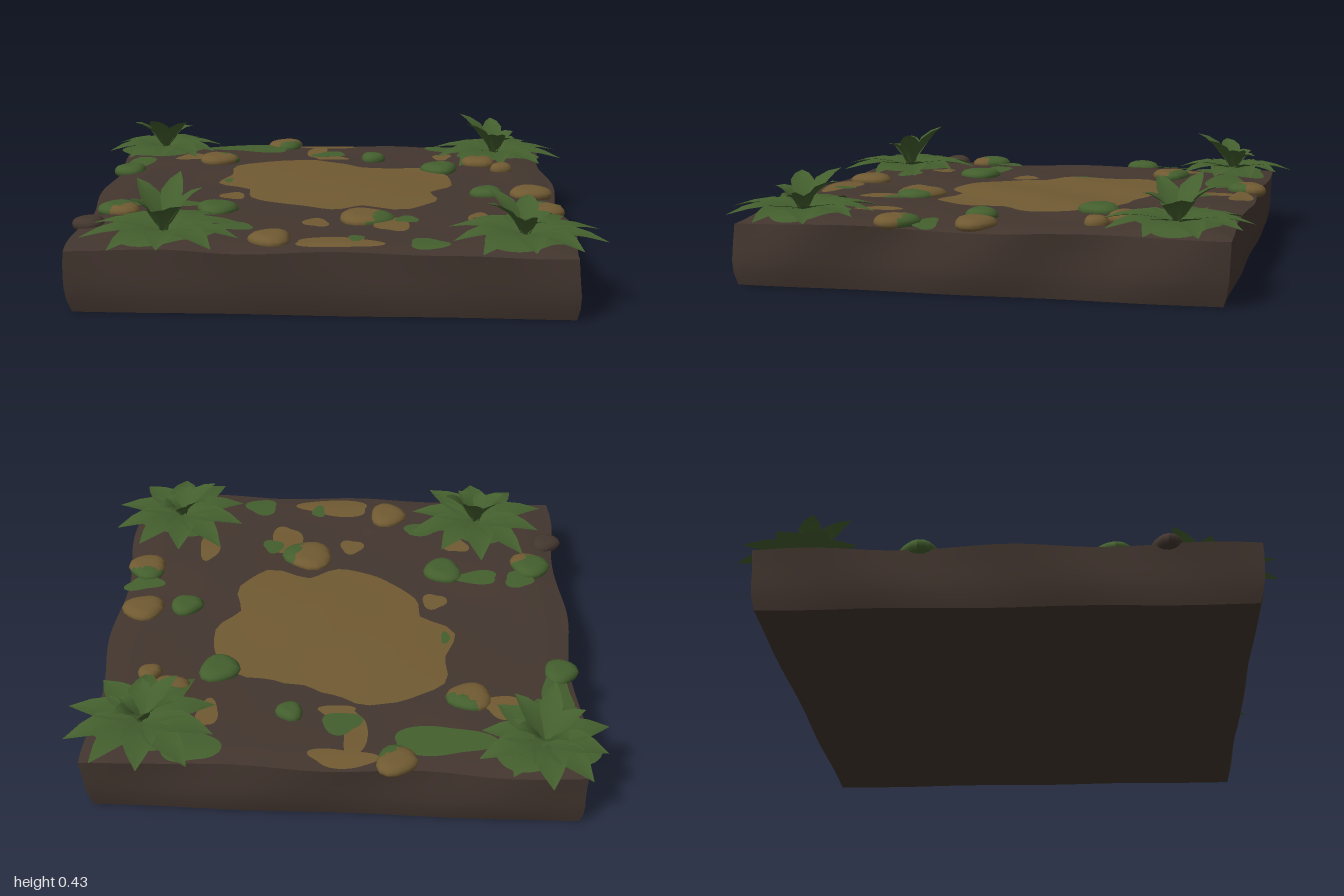
import * as THREE from 'three';

const soil = new THREE.MeshStandardMaterial({ color: 0x43362f });
const clay = new THREE.MeshStandardMaterial({ color: 0x705a32 });
const green = new THREE.MeshStandardMaterial({ color: 0x445f2e, side: THREE.DoubleSide });
soil.name = 'soil'; clay.name = 'clay'; green.name = 'foliage';

// Gently rolling ground height
function height(x, z) {
  const edge = Math.max(Math.abs(x), Math.abs(z));
  return 0.236 + 0.006 * Math.sin(x * 5 + 1) * Math.cos(z * 6) + 0.004 * Math.sin(x * 11 + z * 9)
    - 0.012 * THREE.MathUtils.smoothstep(edge, 0.78, 0.9);
}

// Soil block with wavy, slightly tapering sides
function makeSlab() {
  const geo = new THREE.BoxGeometry(2, 1, 2, 44, 5, 44);
  const p = geo.attributes.position;
  for (let i = 0; i < p.count; i++) {
    const u = p.getX(i), v = p.getZ(i), h = p.getY(i) + 0.5;
    const taper = 1 - 0.018 * (1 - Math.sqrt(Math.min(1, h * 2.5)));
    const wobble = 0.35 + 0.65 * h;
    const skew = u < 0 ? 0.012 * v * -u : 0;
    const x = taper * (u * (0.888 + wobble * 0.014 * Math.sin(v * 8 + u + h * 2)) + skew);
    const z = taper * (v * (0.872 + wobble * 0.009 * Math.sin(u * 7 + v + h * 2)) + 0.018 * u);
    p.setXYZ(i, x, h * height(x, z), z);
  }
  geo.computeVertexNormals();
  const slab = new THREE.Mesh(geo, soil);
  slab.name = 'soilBlock';
  return slab;
}

// Thin patch laid over the ground; radius(angle) gives the outline
function makePatch(name, x, z, radius, material, lift) {
  const n = 60, rings = 8, pos = [], idx = [];
  for (let r = 0; r <= rings; r++) {
    for (let i = 0; i < n; i++) {
      const angle = i / n * Math.PI * 2, [rx, rz] = radius(angle);
      const px = x + Math.cos(angle) * rx * r / rings, pz = z + Math.sin(angle) * rz * r / rings;
      pos.push(px, height(px, pz) + lift, pz);
      if (r === rings) continue;
      const a = r * n + i, b = r * n + (i + 1) % n;
      idx.push(a, b + n, a + n);
      if (r > 0) idx.push(a, b, b + n);
    }
  }
  const geo = new THREE.BufferGeometry();
  geo.setAttribute('position', new THREE.Float32BufferAttribute(pos, 3));
  geo.setIndex(idx);
  geo.computeVertexNormals();
  const mesh = new THREE.Mesh(geo, material);
  mesh.name = name;
  return mesh;
}

// Irregular oval patch
function makeBlob(name, [x, z, rx, rz], material, lift) {
  return makePatch(name, x, z, a => {
    const k = 1 + 0.13 * Math.sin(a * 3 + x * 20) + 0.08 * Math.sin(a * 2 + z * 15);
    return [rx * k, rz * k];
  }, material, lift);
}

// Flat-topped half-buried stone; the side facing mossAngle takes the second colour
function makeStone([x, z, r, main, mossAngle]) {
  const geo = new THREE.SphereGeometry(1, 16, 10);
  const p = geo.attributes.position;
  for (let i = 0; i < p.count; i++) {
    const a = Math.atan2(p.getZ(i), p.getX(i));
    const k = r * (1 + 0.08 * Math.sin(a * 3 + x * 9) + 0.06 * Math.cos(a * 2 + z * 13));
    p.setXYZ(i, p.getX(i) * k, Math.min(p.getY(i), 0.75) * 0.034, p.getZ(i) * k);
  }
  geo.computeVertexNormals();
  const bare = [], mossy = [], index = geo.index.array;
  for (let i = 0; i < index.length; i += 3) {
    const tri = [index[i], index[i + 1], index[i + 2]];
    const isMossy = mossAngle !== undefined && tri.every(j =>
      p.getX(j) * Math.cos(mossAngle) + p.getZ(j) * Math.sin(mossAngle) > r * 0.25);
    (isMossy ? mossy : bare).push(...tri);
  }
  geo.setIndex([...bare, ...mossy]);
  geo.addGroup(0, bare.length, 0);
  geo.addGroup(bare.length, mossy.length, 1);
  const stone = new THREE.Mesh(geo, [main, main === green ? clay : green]);
  stone.position.set(x, height(x, z) + 0.004, z);
  stone.name = 'stone';
  return stone;
}

// Folded pointed leaf from base to tip; arch bows it upward
function makeLeaf(base, tip, width, arch) {
  const dir = tip.clone().sub(base);
  const side = new THREE.Vector3(-dir.z, 0, dir.x).normalize();
  const pos = [], idx = [];
  [0.4, 0.85, 1, 0.6, 0.02].forEach((w, r) => {
    const t = r / 4;
    const mid = base.clone().addScaledVector(dir, t);
    mid.y += arch * Math.sin(t * Math.PI);
    [-1, 0, 1].forEach(s => {
      const q = mid.clone().addScaledVector(side, s * w * width);
      pos.push(q.x, q.y + Math.abs(s) * 0.012 * w, q.z);
    });
    if (r === 0) return;
    for (let k = 0; k < 2; k++) {
      const a = (r - 1) * 3 + k;
      idx.push(a, a + 1, a + 3, a + 1, a + 4, a + 3);
    }
  });
  const geo = new THREE.BufferGeometry();
  geo.setAttribute('position', new THREE.Float32BufferAttribute(pos, 3));
  geo.setIndex(idx);
  geo.computeVertexNormals();
  const leaf = new THREE.Mesh(geo, green);
  leaf.name = 'leaf';
  return leaf;
}

// Plant: ten low spreading leaves and six raised ones, tallest toward lean
function makePlant(name, x, z, spread, lean, peak) {
  const plant = new THREE.Group();
  plant.name = name;
  const base = new THREE.Vector3(x, 0.25, z);
  for (let i = 0; i < 10; i++) {
    const a = i / 10 * Math.PI * 2 + 0.27, r = spread * (1 + 0.06 * Math.sin(i * 2.3 + x));
    const tip = new THREE.Vector3(x + Math.cos(a) * r, 0.245 + 0.006 * (i % 3), z + Math.sin(a) * r);
    plant.add(makeLeaf(base, tip, 0.062, 0.02));
  }
  for (let i = 0; i < 6; i++) {
    const turn = i / 6 * Math.PI * 2 + 0.2, a = lean + turn;
    const r = 0.13 + 0.035 * Math.cos(turn);
    const y = peak - 0.045 * (1 - Math.cos(turn));
    plant.add(makeLeaf(base, new THREE.Vector3(x + Math.cos(a) * r, y, z + Math.sin(a) * r), 0.042, 0.025));
  }
  return plant;
}

export function createModel() {
  const model = new THREE.Group();
  model.name = 'groundTile';
  model.add(makeSlab());

  // Bare clay clearing, from radii at equal angles
  const radii = [0.47, 0.4, 0.49, 0.5, 0.37, 0.42, 0.4, 0.39, 0.39, 0.35,
    0.47, 0.45, 0.52, 0.49, 0.46, 0.38, 0.34, 0.37, 0.46, 0.48];
  model.add(makePatch('clayClearing', 0.02, -0.1, a => {
    const s = a / (Math.PI * 2) * radii.length, i = Math.floor(s);
    const r = THREE.MathUtils.lerp(radii[i], radii[(i + 1) % radii.length], THREE.MathUtils.smoothstep(s - i, 0, 1));
    return [r, r];
  }, clay, 0.005));

  // Small ground patches: x, z, half width, half depth
  [[-0.03, 0.49, 0.045, 0.055], [-0.37, 0.11, 0.045, 0.055], [0.25, 0.53, 0.06, 0.1], [0.05, 0.78, 0.16, 0.06],
    [0.57, 0.45, 0.04, 0.09], [-0.07, -0.7, 0.04, 0.14], [-0.03, -0.82, 0.12, 0.045], [-0.61, -0.54, 0.07, 0.06],
    [0.47, -0.6, 0.04, 0.07], [-0.47, 0.5, 0.05, 0.05], [0, -0.57, 0.07, 0.03],
  ].forEach(b => model.add(makeBlob('clayPatch', b, clay, 0.005)));
  [[-0.38, -0.73, 0.17, 0.08], [-0.82, -0.46, 0.06, 0.13], [-0.55, 0.27, 0.09, 0.045], [-0.72, 0.26, 0.06, 0.05],
    [-0.33, 0.61, 0.08, 0.05], [0.37, 0.78, 0.07, 0.06], [0.81, 0.2, 0.08, 0.045], [-0.41, -0.13, 0.018, 0.035],
    [0.12, 0.74, 0.03, 0.04], [0.3, 0.47, 0.04, 0.05], [-0.02, -0.64, 0.07, 0.06], [0.52, -0.77, 0.1, 0.09],
  ].forEach(b => model.add(makeBlob('mossPatch', b, green, 0.008)));

  // Stones: x, z, radius, colour, direction of the other colour
  [[0.15, 0.42, 0.1, clay, 0.3], [-0.18, 0.73, 0.08, clay], [-0.49, -0.49, 0.08, clay, -0.9],
    [-0.22, -0.83, 0.075, clay, 1], [0.79, 0.03, 0.08, clay], [0.81, 0.31, 0.08, clay, -1.5],
    [0.62, 0.05, 0.062, green], [0.45, -0.35, 0.077, green], [0.17, -0.58, 0.05, green],
    [-0.41, 0.32, 0.08, green], [-0.77, 0.36, 0.08, green, 0.9], [-0.84, -0.32, 0.067, green],
    [0.62, -0.47, 0.068, clay, -1.5], [0.71, -0.38, 0.045, clay], [-0.85, 0.54, 0.057, soil],
  ].forEach(s => model.add(makeStone(s)));

  // Corner plants, each on a mossy bed
  [['backRightPlant', -0.75, -0.73, 0.24, 1.6, 0.4], ['backLeftPlant', 0.7, -0.66, 0.28, 3.4, 0.41],
    ['frontRightPlant', -0.56, 0.68, 0.29, -1.5, 0.43], ['frontLeftPlant', 0.71, 0.69, 0.28, 3.6, 0.39],
  ].forEach(([name, x, z, ...rest]) => {
    model.add(makePlant(name, x, z, ...rest));
    model.add(makeBlob('mossBed', [x, z, 0.17, 0.15], green, 0.007));
  });
  return model;
}
